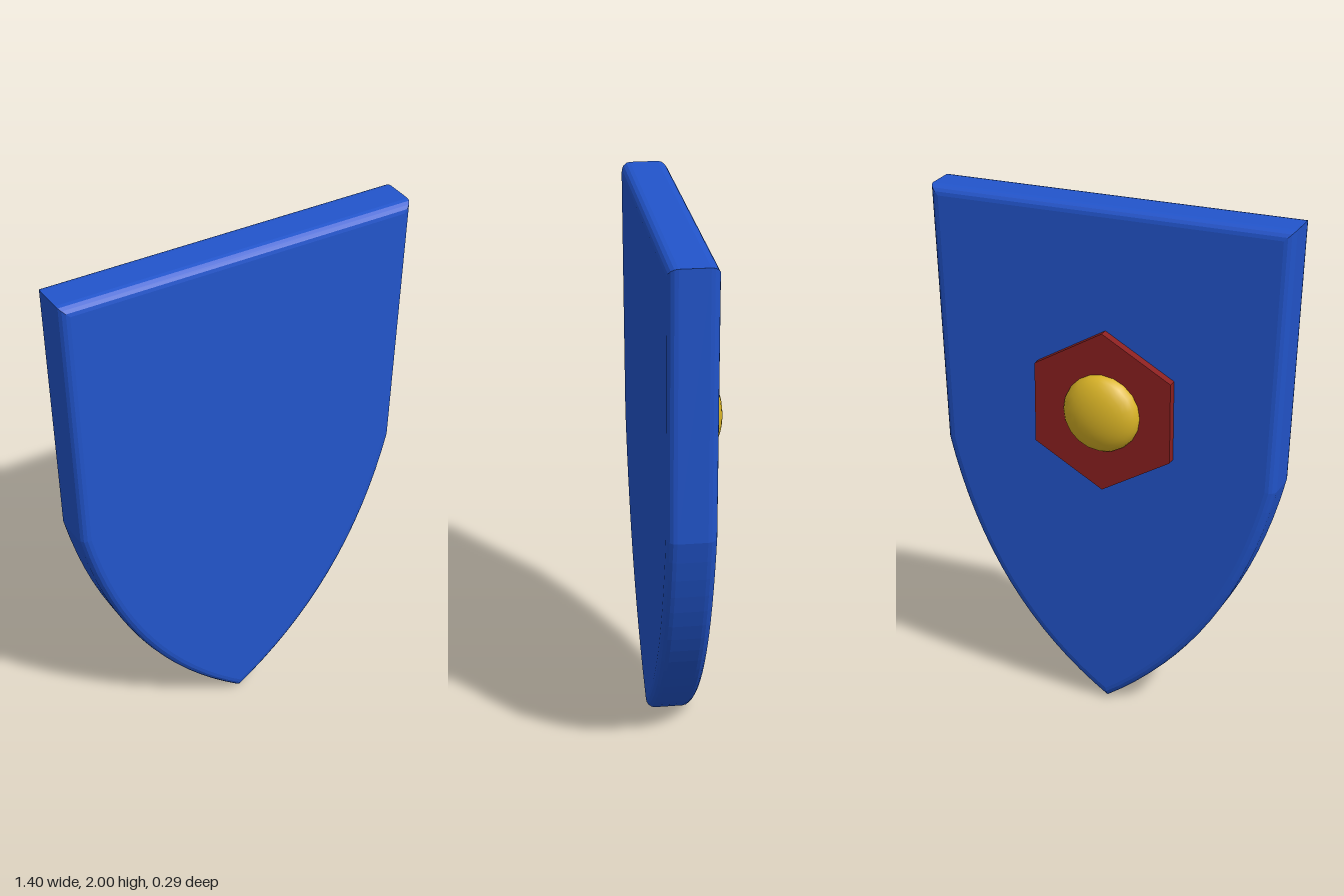
import * as THREE from 'three';

const blue = new THREE.MeshStandardMaterial({ color: 0x2255cc });
const red = new THREE.MeshStandardMaterial({ color: 0x8b2020 });
const gold = new THREE.MeshStandardMaterial({ color: 0xdbb526 });
blue.name = 'blue';
red.name = 'dark red';
gold.name = 'gold';

export function createModel() {
  const group = new THREE.Group();
  group.name = 'shield';

  const add = (name, geometry, material) => {
    const mesh = new THREE.Mesh(geometry, material);
    mesh.name = name;
    group.add(mesh);
    return mesh;
  };

  // Board: heater outline with rounded rims, kept inside the outline by bevelOffset
  const outline = new THREE.Shape();
  outline.moveTo(0, 0);
  outline.quadraticCurveTo(0.5, 0.33, 0.66, 1);
  outline.lineTo(0.7, 2);
  outline.lineTo(-0.7, 2);
  outline.lineTo(-0.66, 1);
  outline.quadraticCurveTo(-0.5, 0.33, 0, 0);
  const bevel = 0.036;
  const board = new THREE.ExtrudeGeometry(outline, {
    depth: 0.18 - 2 * bevel,
    bevelThickness: bevel,
    bevelSize: bevel,
    bevelOffset: -bevel,
    bevelSegments: 4,
    curveSegments: 16,
  });
  board.translate(0, 0, -0.035 + bevel);
  add('board', board, blue);

  // Hexagonal plate on the back, one corner up
  const plate = new THREE.CylinderGeometry(0.31, 0.31, 0.036, 6).toNonIndexed();
  plate.computeVertexNormals();
  plate.rotateX(-Math.PI / 2);
  add('hexPlate', plate, red).position.set(0, 1.228, -0.052);

  // Flattened dome in the middle of the plate
  const dome = new THREE.SphereGeometry(0.15, 20, 8, 0, Math.PI * 2, 0, Math.PI / 2);
  dome.rotateX(-Math.PI / 2);
  dome.scale(1, 1, 0.5);
  add('boss', dome, gold).position.set(0, 1.228, -0.07);

  return group;
}
